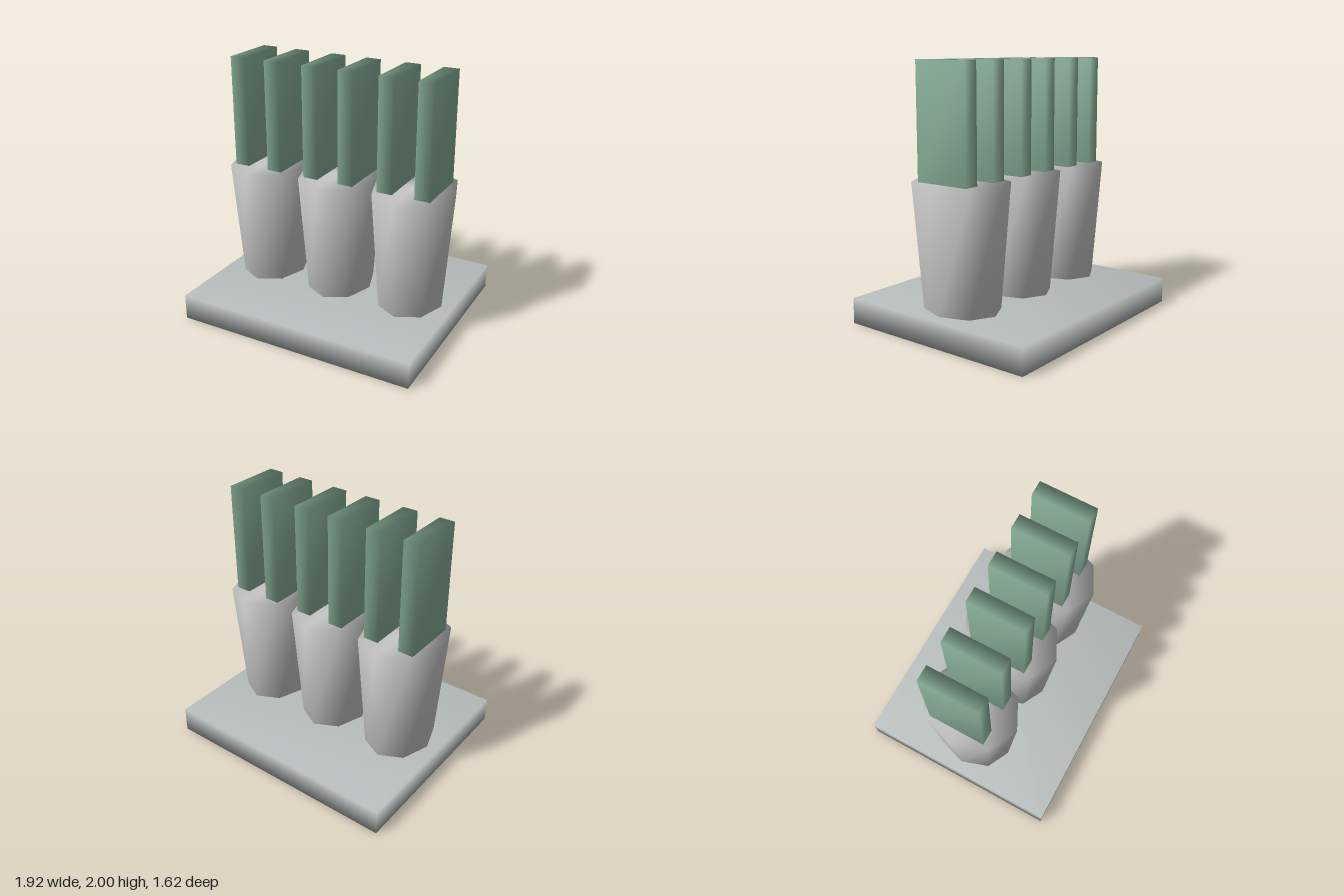
import * as THREE from 'three';
import { mergeVertices } from 'three/addons/utils/BufferGeometryUtils.js';

// Weld corners so the shading runs smoothly across every edge.
function soften(geometry) {
  geometry.deleteAttribute('normal');
  geometry.deleteAttribute('uv');
  const welded = mergeVertices(geometry, 1e-4);
  welded.computeVertexNormals();
  return welded;
}

export function createModel() {
  const group = new THREE.Group();
  const grey = new THREE.MeshStandardMaterial({ color: 0xcccccc });
  const baseGrey = new THREE.MeshStandardMaterial({ color: 0xb8bebd });
  const green = new THREE.MeshStandardMaterial({ color: 0x8ab19a });

  const add = (name, geometry, material, x, y) => {
    const mesh = new THREE.Mesh(geometry, material);
    mesh.name = name;
    mesh.position.set(x, y, 0);
    group.add(mesh);
  };

  const baseHeight = 0.2, potTop = 1.14, top = 2;

  // Flat slab
  add('base', soften(new THREE.BoxGeometry(1.92, baseHeight, 1.62)), baseGrey, 0, baseHeight / 2);

  // Tapered eight-sided pot, narrower across x than z
  const potHeight = potTop - baseHeight;
  const potGeometry = soften(new THREE.CylinderGeometry(0.39, 0.31, potHeight, 8).scale(0.815, 1, 1));

  // Upright slat
  const slatHeight = top - potTop;
  const slatGeometry = soften(new THREE.BoxGeometry(0.12, slatHeight, 0.45));

  // Three pots in a row, two slats on each
  for (const x of [-0.618, 0, 0.618]) {
    add('pot', potGeometry, grey, x, baseHeight + potHeight / 2);
    for (const side of [-1, 1]) {
      add('slat', slatGeometry, green, x + side * 0.148, potTop + slatHeight / 2);
    }
  }
  return group;
}
